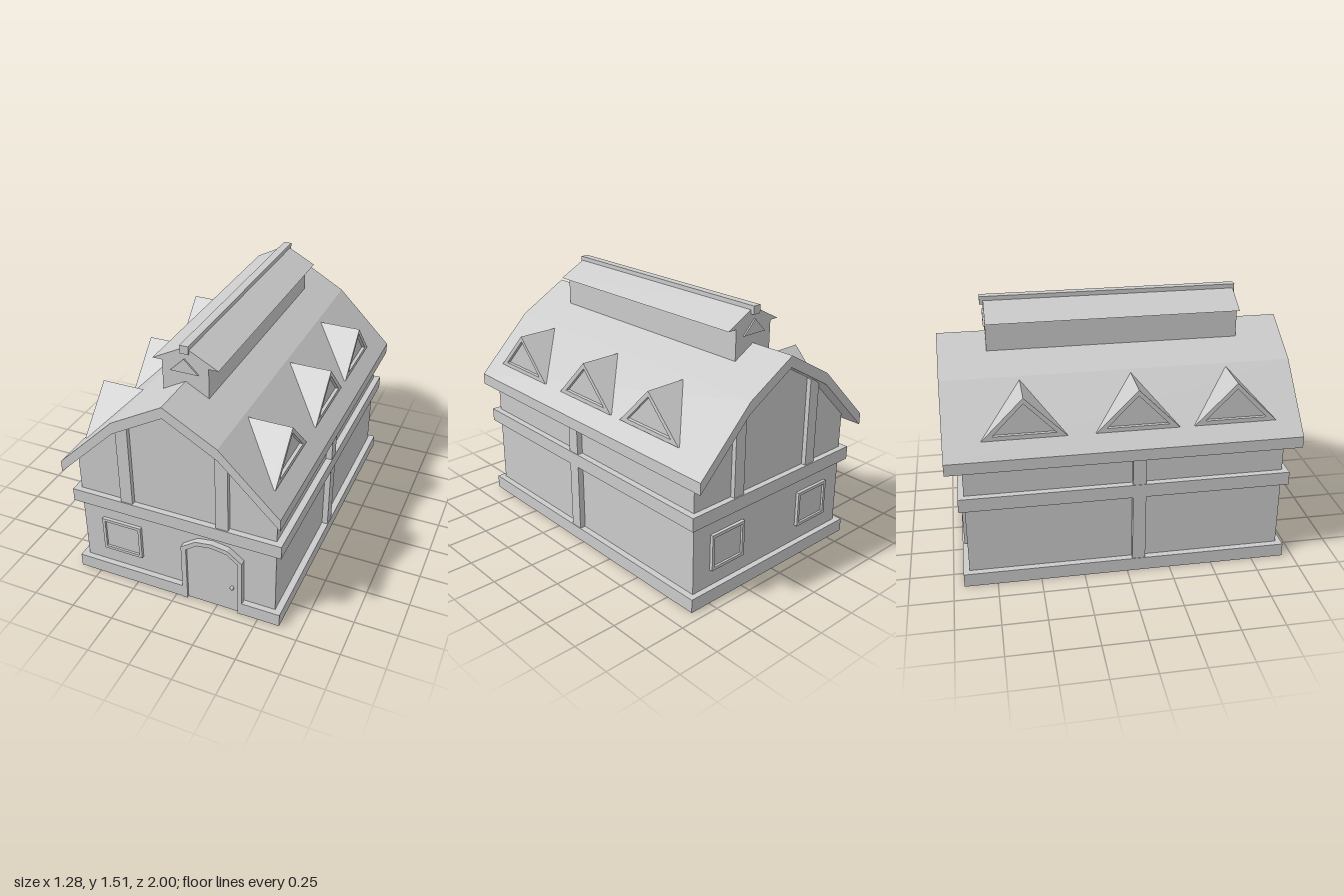
import * as THREE from 'three';
import { ConvexGeometry } from 'three/addons/geometries/ConvexGeometry.js';

const material = new THREE.MeshStandardMaterial({ color: 0xcccccc, flatShading: true });

function add(parent, name, geometry) {
  const mesh = new THREE.Mesh(geometry, material);
  mesh.name = name;
  parent.add(mesh);
  return mesh;
}

// Box given by its limits on each axis
function box(parent, name, [x0, x1], [y0, y1], [z0, z1]) {
  const mesh = add(parent, name, new THREE.BoxGeometry(x1 - x0, y1 - y0, z1 - z0));
  mesh.position.set((x0 + x1) / 2, (y0 + y1) / 2, (z0 + z1) / 2);
  return mesh;
}

// Outline in x and y, extruded from z0 to z1, with an optional hole
function slab(outline, z0, z1, hole) {
  const toPoints = list => list.map(([x, y]) => new THREE.Vector2(x, y));
  const shape = new THREE.Shape(toPoints(outline));
  if (hole) shape.holes.push(new THREE.Path(toPoints(hole)));
  return new THREE.ExtrudeGeometry(shape, { depth: z1 - z0, bevelEnabled: false }).translate(0, 0, z0);
}

const rect = (x, y, w, h) => [[x - w, y - h], [x + w, y - h], [x + w, y + h], [x - w, y + h]];

// Framed window on the front wall plane
function makeWindow(x) {
  const group = new THREE.Group();
  group.name = 'window';
  const y = 0.288;
  add(group, 'windowFrame', slab(rect(x, y, 0.122, 0.108), 0.9, 0.925, rect(x, y, 0.105, 0.09)));
  box(group, 'windowPane', [x - 0.11, x + 0.11], [y - 0.095, y + 0.095], [0.9, 0.912]);
  return group;
}

// Triangular dormer on the +x roof slope, centred on z = 0
function makeDormer() {
  const group = new THREE.Group();
  group.name = 'dormer';
  const frame = slab([[-0.235, 0.88], [0.235, 0.88], [0, 1.12]], 0.545, 0.565,
    [[-0.175, 0.905], [0.175, 0.905], [0, 1.087]]);
  add(group, 'dormerFrame', frame.rotateY(Math.PI / 2));
  add(group, 'dormerHood', new ConvexGeometry([
    new THREE.Vector3(0.545, 0.88, -0.235),
    new THREE.Vector3(0.545, 0.88, 0.235),
    new THREE.Vector3(0.545, 1.12, 0),
    new THREE.Vector3(0.31, 1.12, 0),
  ]));
  return group;
}

export function createModel() {
  const barn = new THREE.Group();
  barn.name = 'barn';

  // Walls with gable ends reaching into the roof
  add(barn, 'walls', slab([
    [-0.59, 0], [0.59, 0], [0.59, 0.8], [0.3, 1.09], [0, 1.26], [-0.3, 1.09], [-0.59, 0.8],
  ], -0.906, 0.906));

  // Gambrel roof shell
  add(barn, 'roof', slab([
    [0.64, 0.73], [0.64, 0.798], [0.3, 1.135], [0, 1.305], [-0.3, 1.135], [-0.64, 0.798],
    [-0.64, 0.73], [-0.3, 1.067], [0, 1.24], [0.3, 1.067],
  ], -1, 1));

  // Base trim with a gap for the door, and the middle band
  const base = slab([
    [-0.628, 0.94], [-0.628, -0.94], [0.628, -0.94], [0.628, 0.94],
    [0.405, 0.94], [0.405, 0.9], [0.04, 0.9], [0.04, 0.94],
  ].map(([x, z]) => [x, -z]), 0, 0.08);
  add(barn, 'baseTrim', base.rotateX(-Math.PI / 2));
  box(barn, 'middleBand', [-0.628, 0.628], [0.49, 0.57], [-0.94, 0.94]);

  // Upright posts on the gables and long walls
  for (const side of [-1, 1]) {
    for (const end of [-1, 1]) {
      const x = side * 0.287, z = end * 0.916;
      box(barn, 'gablePost', [x - 0.036, x + 0.036], [0.53, 1.09], [z - 0.017, z + 0.017]);
    }
    const x = side * 0.605;
    box(barn, 'sidePost', [x - 0.02, x + 0.02], [0.02, 0.775], [0.03, 0.105]);
  }

  // Arched door
  const door = new THREE.Group();
  door.name = 'door';
  const arch = [[0.38, 0.36], [0.315, 0.41], [0.222, 0.424], [0.135, 0.41], [0.07, 0.36]];
  add(door, 'doorFrame', slab([
    [0.04, 0], [0.07, 0], ...[...arch].reverse(), [0.38, 0], [0.405, 0],
    [0.405, 0.372], [0.32, 0.436], [0.222, 0.45], [0.13, 0.436], [0.04, 0.372],
  ], 0.9, 0.942));
  add(door, 'doorPanel', slab([[0.07, 0], [0.38, 0], ...arch], 0.9, 0.927));
  const knob = add(door, 'doorKnob', new THREE.SphereGeometry(0.012, 12, 8));
  knob.position.set(0.345, 0.175, 0.938);
  barn.add(door);

  // One window in front, two at the back
  barn.add(makeWindow(-0.343));
  for (const x of [-0.345, 0.345]) {
    const back = makeWindow(x);
    back.rotation.y = Math.PI;
    barn.add(back);
  }

  // Three dormers on each slope
  const dormerRows = [[1, [0.648, 0.025, -0.525]], [-1, [0.62, 0.067, -0.558]]];
  for (const [side, places] of dormerRows) {
    for (const z of places) {
      const dormer = makeDormer();
      dormer.rotation.y = side > 0 ? 0 : Math.PI;
      dormer.position.z = z;
      barn.add(dormer);
    }
  }

  // Long vent house along the ridge
  const vent = new THREE.Group();
  vent.name = 'ridgeVent';
  box(vent, 'ventWalls', [-0.132, 0.132], [1.23, 1.41], [-0.726, 0.726]);
  add(vent, 'ventRoof', slab([[-0.187, 1.404], [0.187, 1.404], [0, 1.503]], -0.726, 0.726));
  add(vent, 'ventGableTriangles', slab([[-0.083, 1.358], [0.077, 1.358], [-0.003, 1.438]], -0.735, 0.735));
  box(vent, 'ventRidgeBeam', [-0.024, 0.024], [1.468, 1.515], [-0.747, 0.735]);
  barn.add(vent);

  return barn;
}
